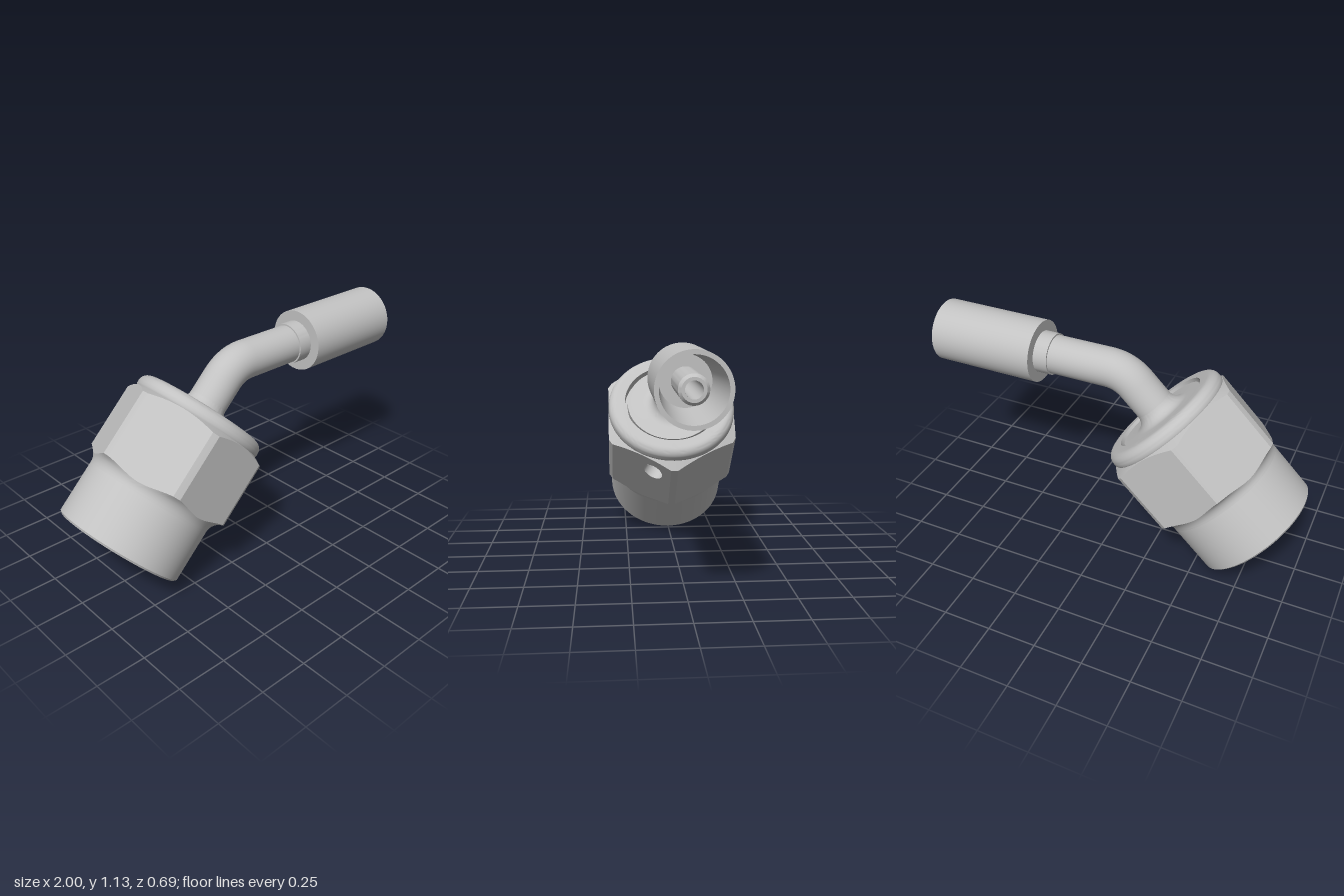
import * as THREE from 'three';
import { toCreasedNormals } from 'three/addons/utils/BufferGeometryUtils.js';

const steel = new THREE.MeshStandardMaterial({ color: 0xc2c2c2, side: THREE.DoubleSide });
steel.name = 'steel';

const AXIS_Y = 0.98;                 // height of the horizontal pipe
const NUT_BASE = [-0.77, 0.235];     // centre of the nut's open end
const APOTHEM = 0.345, CORNER = 0.388, NECK = 0.33, FILLET = 0.075, FILLET_START = 0.28;

function addMesh(parent, geometry, name) {
  const mesh = new THREE.Mesh(geometry, steel);
  mesh.name = name;
  parent.add(mesh);
  return mesh;
}

function turned(points, segments = 96) {
  const g = new THREE.LatheGeometry(points.map(p => new THREE.Vector2(p[0], p[1])), segments);
  return toCreasedNormals(g, 0.6);
}

// Quarter-arc profile points
function arc(cx, cy, r, from, to, n = 8) {
  return Array.from({ length: n + 1 }, (_, i) => {
    const a = from + (to - from) * i / n;
    return [cx + r * Math.cos(a), cy + r * Math.sin(a)];
  });
}

// Height at which the hexagon meets its lower fillet and its upper chamfer
const filletReach = r => Math.sqrt(FILLET ** 2 - (NECK + FILLET - r) ** 2);
const lowerEdge = r => FILLET_START + filletReach(r);
const upperEdge = r => 0.69 + (CORNER - r) * 0.577;

function flatOffsets() {
  const half = Math.acos(APOTHEM / CORNER), n = 16;
  return Array.from({ length: n + 1 }, (_, i) => -half + 2 * half * i / n);
}

// Lower fillet, corner strips and upper chamfer of the hexagon
function hexEdges() {
  const columns = [];
  for (let k = 0; k < 6; k++) {
    const mid = Math.PI / 6 + k * Math.PI / 3;
    const offs = flatOffsets();
    offs.forEach((o, i) => columns.push({ a: mid + o, r: APOTHEM / Math.cos(o), flat: i < offs.length - 1 }));
    columns.push({ a: mid + Math.PI / 6, r: CORNER, flat: false });
  }
  const rows = 6;
  const grid = columns.map(({ a, r }) => {
    const profile = [];
    for (let j = 0; j <= rows; j++) {
      const s = filletReach(r) * j / rows;
      profile.push([NECK + FILLET - Math.sqrt(FILLET ** 2 - s * s), FILLET_START + s]);
    }
    profile.push([r, upperEdge(r)], [NECK, upperEdge(NECK)]);
    return profile.map(([q, y]) => [q * Math.cos(a), y, q * Math.sin(a)]);
  });
  const pos = [];
  columns.forEach((c, i) => {
    const A = grid[i], B = grid[(i + 1) % grid.length];
    for (let j = 0; j < A.length - 1; j++) {
      if (c.flat && j === rows) continue;
      pos.push(...A[j], ...A[j + 1], ...B[j], ...B[j], ...A[j + 1], ...B[j + 1]);
    }
  });
  const g = new THREE.BufferGeometry();
  g.setAttribute('position', new THREE.Float32BufferAttribute(pos, 3));
  return toCreasedNormals(g, 0.4);
}

// One wrench flat, optionally drilled
function hexFlat(hole) {
  const offs = flatOffsets();
  const point = (o, edge) => new THREE.Vector2(APOTHEM * Math.tan(o), edge(APOTHEM / Math.cos(o)));
  const shape = new THREE.Shape([
    ...offs.map(o => point(o, lowerEdge)),
    ...offs.slice().reverse().map(o => point(o, upperEdge)),
  ]);
  if (hole) shape.holes.push(new THREE.Path().absarc(hole.x, hole.y, hole.r, 0, Math.PI * 2, true));
  return new THREE.ShapeGeometry(shape, 24);
}

function buildNut() {
  const nut = new THREE.Group();
  nut.name = 'swivelNut';

  // Open sleeve with its bore
  addMesh(nut, turned([
    [0.038, 0.5], [0.3, 0.5], [0.3, 0.012], [0.31, 0], [0.32, 0], [NECK, 0.01], [NECK, FILLET_START],
  ]), 'nutSleeve');

  // Hexagon with a drilled hole in one flat
  addMesh(nut, hexEdges(), 'hexEdges');
  const hole = { x: 0.072, y: 0.606, r: 0.055 }, depth = 0.11;
  for (let k = 0; k < 6; k++) {
    const side = new THREE.Group();
    side.name = 'hexSide';
    side.rotation.y = Math.PI / 3 - k * Math.PI / 3;
    nut.add(side);
    addMesh(side, hexFlat(k === 0 ? hole : null), 'hexFlat').position.z = APOTHEM;
    if (k === 0) {
      const wall = new THREE.CylinderGeometry(hole.r, hole.r, depth, 24, 1, true).rotateX(Math.PI / 2);
      addMesh(side, wall, 'holeWall').position.set(hole.x, hole.y, APOTHEM - depth / 2);
      addMesh(side, new THREE.CircleGeometry(hole.r, 24), 'holeFloor')
        .position.set(hole.x, hole.y, APOTHEM - depth);
    }
  }

  // Rounded top ring
  addMesh(nut, turned([
    [0.325, 0.7], [0.338, 0.712], [0.345, 0.725],
    ...arc(0.3, 0.74, 0.045, 0, Math.PI / 2),
    [0.255, 0.785], [0.255, 0.735], [0.24, 0.735],
  ]), 'topRing');

  // Swivel head flaring into the pipe
  addMesh(nut, turned([
    [0.24, 0.735], [0.24, 0.772],
    ...arc(0.16, 0.832, 0.06, -Math.PI / 2, -Math.PI),
  ]), 'swivelHead');

  nut.position.set(NUT_BASE[0], NUT_BASE[1], 0);
  nut.rotation.z = -Math.PI / 4;
  return nut;
}

// Path along the nut axis, round the bend and out to endX
function pipePath(startT, endX) {
  const h = Math.SQRT1_2;
  const onAxis = t => new THREE.Vector3(NUT_BASE[0] + h * t, NUT_BASE[1] + h * t, 0);
  const bend = onAxis((AXIS_Y - NUT_BASE[1]) / h);
  const reach = 0.09;
  const before = bend.clone().add(new THREE.Vector3(-h * reach, -h * reach, 0));
  const after = bend.clone().add(new THREE.Vector3(reach, 0, 0));
  const path = new THREE.CurvePath();
  path.add(new THREE.LineCurve3(onAxis(startT), before));
  path.add(new THREE.QuadraticBezierCurve3(before, bend, after));
  path.add(new THREE.LineCurve3(after, new THREE.Vector3(endX, AXIS_Y, 0)));
  return path;
}

function buildHoseEnd() {
  const end = new THREE.Group();
  end.name = 'hoseEnd';
  // Profiles are radius against distance along x
  addMesh(end, turned([[0.1, 0.36], [0.108, 0.36], [0.108, 0.44]], 64), 'collar');
  addMesh(end, turned([
    [0.1, 0.435], [0.162, 0.435], [0.162, 1], [0.142, 1], [0.12, 0.6], [0.06, 0.6],
  ], 64), 'ferrule');
  addMesh(end, turned([
    [0.065, 0.58], [0.065, 0.975], [0.052, 0.99], [0.038, 0.99],
  ], 48), 'hoseStem');
  end.rotation.z = -Math.PI / 2;
  end.position.y = AXIS_Y;
  return end;
}

export function createModel() {
  const model = new THREE.Group();
  model.name = 'angledHoseFitting';
  model.add(buildNut());
  addMesh(model, new THREE.TubeGeometry(pipePath(0.7, 0.44), 90, 0.1, 48), 'bentPipe');
  addMesh(model, new THREE.TubeGeometry(pipePath(0.5, 0.99), 120, 0.038, 24), 'pipeBore');
  model.add(buildHoseEnd());
  return model;
}
